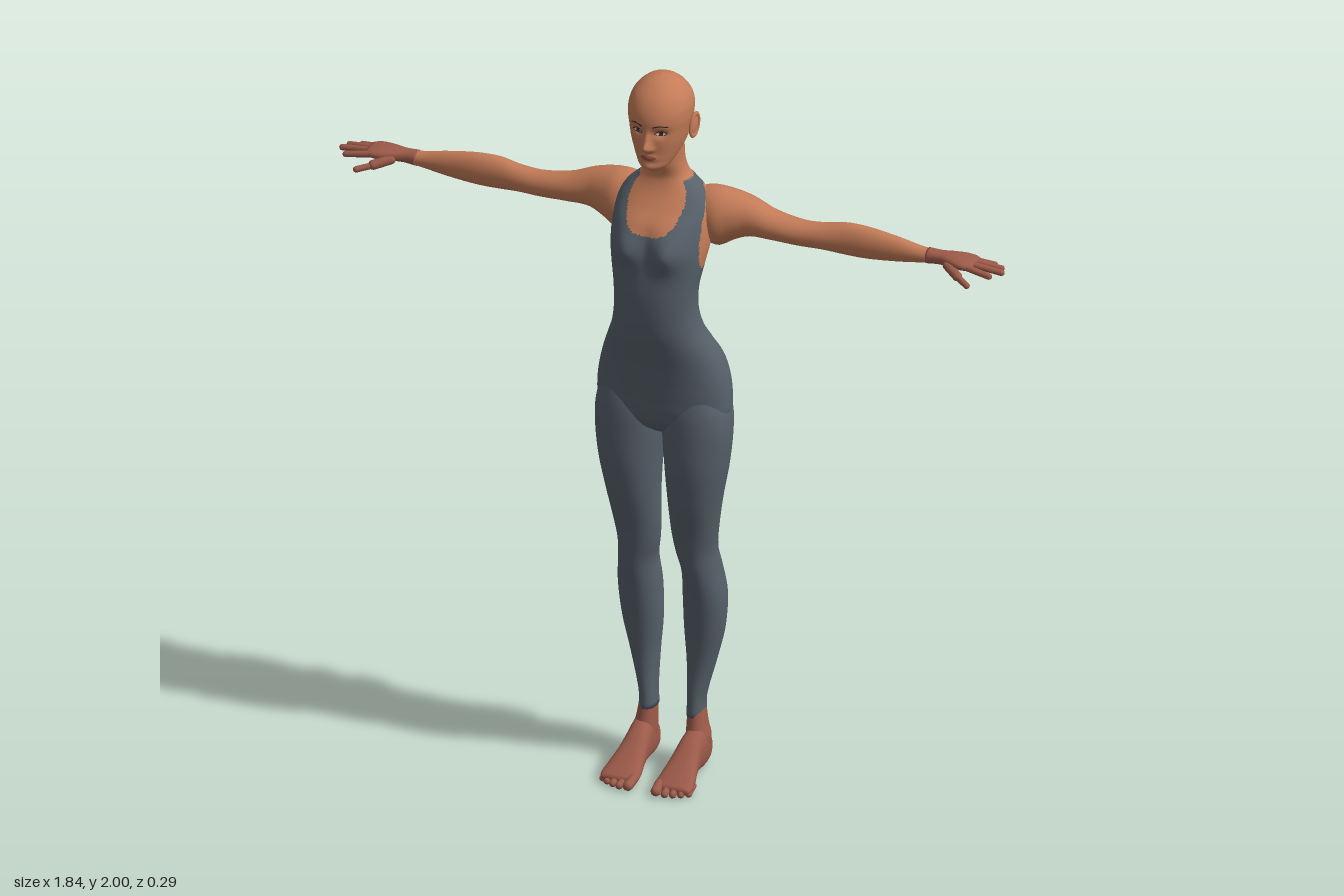
import * as THREE from 'three';

const mat = (name, hex) => {
  const m = new THREE.MeshStandardMaterial({ color: hex });
  m.name = name;
  return m;
};

// Smooth interpolation of cross-section rows [t, u0, u1, v0, v1]
function sample(rows, t) {
  let i = 0;
  while (i < rows.length - 2 && t > rows[i + 1][0]) i++;
  const a = rows[i], b = rows[i + 1], p = rows[i - 1] || a, n = rows[i + 2] || b;
  const h = b[0] - a[0], s = (t - a[0]) / h, s2 = s * s, s3 = s2 * s;
  return [1, 2, 3, 4].map((k) => {
    const ma = (b[k] - p[k]) / (b[0] - p[0]) * h, mb = (n[k] - a[k]) / (n[0] - a[0]) * h;
    return (2 * s3 - 3 * s2 + 1) * a[k] + (s3 - 2 * s2 + s) * ma + (3 * s2 - 2 * s3) * b[k] + (s3 - s2) * mb;
  });
}

// Axis maps put (t, u, v) into x, y, z without changing the winding
const alongY = (t, u, v) => new THREE.Vector3(u, t, v);
const alongX = (t, u, v) => new THREE.Vector3(t, v, u);
const alongZ = (t, u, v) => new THREE.Vector3(v, u, t);

// Closed loft through the rows; deform moves points, paint picks a material index per face
function loft(rows, map, { steps = 40, sides = 32, power = 2.1, deform, paint } = {}) {
  const pts = [], faces = [];
  const t0 = rows[0][0], t1 = rows[rows.length - 1][0];
  const sup = (c) => Math.sign(c) * Math.abs(c) ** (2 / power);
  for (let i = 0; i <= steps; i++) {
    const t = t0 + (t1 - t0) * i / steps;
    const [u0, u1, v0, v1] = sample(rows, t);
    for (let j = 0; j < sides; j++) {
      const a = j / sides * Math.PI * 2;
      const p = map(t, (u0 + u1) / 2 + (u1 - u0) / 2 * sup(Math.cos(a)), (v0 + v1) / 2 + (v1 - v0) / 2 * sup(Math.sin(a)));
      if (deform) deform(p);
      pts.push(p);
    }
  }
  const bottom = pts.length, top = bottom + 1;
  for (const r of [rows[0], rows[rows.length - 1]]) pts.push(map(r[0], (r[1] + r[2]) / 2, (r[3] + r[4]) / 2));
  for (let j = 0; j < sides; j++) {
    const k = (j + 1) % sides, e = steps * sides;
    for (let i = 0; i < steps; i++) {
      const p = i * sides + j, n = i * sides + k;
      faces.push([p, p + sides, n], [n, p + sides, n + sides]);
    }
    faces.push([bottom, j, k], [top, e + k, e + j]);
  }
  const geo = new THREE.BufferGeometry().setFromPoints(pts);
  const lists = [];
  for (const f of faces) {
    const c = new THREE.Vector3();
    f.forEach((q) => c.addScaledVector(pts[q], 1 / 3));
    const m = paint ? paint(c.x, c.y, c.z) : 0;
    (lists[m] ||= []).push(...f);
  }
  geo.setIndex(lists.flat());
  let start = 0;
  if (paint) lists.forEach((l, m) => { geo.addGroup(start, l.length, m); start += l.length; });
  geo.computeVertexNormals();
  return geo;
}

// Rounded finger or toe between two points
function digit(a, b, r) {
  const from = new THREE.Vector3(...a), to = new THREE.Vector3(...b), d = to.clone().sub(from);
  const g = new THREE.CapsuleGeometry(r, d.length() - r, 5, 10);
  g.applyQuaternion(new THREE.Quaternion().setFromUnitVectors(new THREE.Vector3(0, 1, 0), d.clone().normalize()));
  const mid = from.add(to).multiplyScalar(0.5);
  return g.translate(mid.x, mid.y, mid.z);
}

function mirrored(geo) {
  const g = geo.clone().scale(-1, 1, 1), ix = g.index;
  for (let i = 0; i < ix.count; i += 3) {
    const b = ix.getX(i + 1);
    ix.setX(i + 1, ix.getX(i + 2));
    ix.setX(i + 2, b);
  }
  return g;
}

const sym = (rows) => rows.map(([t, w, back, front]) => [t, -w, w, back, front]);
const bump = (x, y, cx, cy, sx, sy) => Math.exp(-(((x - cx) / sx) ** 2) - ((y - cy) / sy) ** 2);
const oval = (x, y, cx, cy, rx, ry) => ((x - cx) / rx) ** 2 + ((y - cy) / ry) ** 2 < 1;
// Piecewise linear curve through [t, value] points
const ramp = (pts, t) => {
  if (t <= pts[0][0]) return pts[0][1];
  for (let i = 1; i < pts.length; i++) {
    const [a, va] = pts[i - 1], [b, vb] = pts[i];
    if (t <= b) return va + (vb - va) * (t - a) / (b - a);
  }
  return pts[pts.length - 1][1];
};

// Bodysuit outline: scooped front with straps, deep armholes and a narrow back strip
function suitPaint(x, y, z) {
  const ax = Math.abs(x);
  if (y < 1.465) return 0;
  if (y > 1.702) return 1;
  if (z > ramp([[1.465, -0.06], [1.5, -0.01], [1.6, 0.03], [1.65, -0.01], [1.68, -0.05]], y)) {
    const inner = ramp([[1.578, 0], [1.582, 0.03], [1.59, 0.05], [1.61, 0.067], [1.65, 0.078], [1.68, 0.072], [1.7, 0.06]], y);
    return ax >= inner && ax < 0.122 ? 0 : 1;
  }
  if (y > 1.678) return 0;
  return z < -0.02 && ax < ramp([[1.465, 0.13], [1.49, 0.09], [1.53, 0.055], [1.6, 0.032], [1.645, 0.026], [1.678, 0.06]], y) ? 0 : 1;
}

function torsoShape(p) {
  const ax = Math.abs(p.x);
  // chest, then buttocks
  p.z += 0.03 * bump(ax, p.y, 0.06, 1.54, 0.045, 0.05) * THREE.MathUtils.smoothstep(p.z, 0, 0.07);
  p.z -= 0.036 * bump(ax, p.y, 0.078, 1.135, 0.06, 0.075) * THREE.MathUtils.smoothstep(-p.z, 0.03, 0.09);
}

function faceShape(p) {
  if (p.z < 0.03) return;
  const ax = Math.abs(p.x), y = p.y;
  p.z += 0.021 * bump(ax, y, 0, 1.834, 0.011, 0.014) + 0.011 * bump(ax, y, 0, 1.856, 0.009, 0.02)
    + 0.005 * bump(ax, y, 0.012, 1.828, 0.007, 0.007) - 0.009 * bump(ax, y, 0.031, 1.872, 0.016, 0.011)
    + 0.007 * bump(ax, y, 0, 1.802, 0.02, 0.009) + 0.005 * bump(ax, y, 0, 1.775, 0.018, 0.012);
}

// Face colours: skin, lips, dark lashes, eye whites
function facePaint(x, y, z) {
  const ax = Math.abs(x);
  if (z < 0.03) return 0;
  if (oval(ax, y, 0, 1.802, 0.021, 0.0075)) return 1;
  if (oval(ax, y, 0.032, 1.872, 0.015, 0.0065)) {
    return oval(ax, y, 0.032, 1.871, 0.012, 0.0042) && !oval(ax, y, 0.032, 1.871, 0.0055, 0.006) ? 3 : 2;
  }
  const brow = 1.891 + 0.004 * Math.sin((ax - 0.014) * 80);
  return ax > 0.014 && ax < 0.05 && Math.abs(y - brow) < 0.0018 ? 2 : 0;
}

export function createModel() {
  const skin = mat('skin', 0xc47c58), flush = mat('reddish skin', 0x9d5b4a), suit = mat('suit grey', 0x57616a);
  const lip = mat('lips', 0x9c5144), dark = mat('dark brown', 0x3d2620), white = mat('eye white', 0xcfc2b8);
  const model = new THREE.Group();
  model.name = 'figure';
  const add = (name, geo, material) => {
    const m = new THREE.Mesh(geo, material);
    m.name = name;
    model.add(m);
  };
  const pair = (name, geo, material) => {
    add('left' + name, geo, material);
    add('right' + name, mirrored(geo), material);
  };

  // Torso and neck
  add('torso', loft(sym([
    [0.985, 0.07, -0.05, 0.02], [1.01, 0.15, -0.085, 0.05], [1.05, 0.178, -0.106, 0.066], [1.1, 0.181, -0.116, 0.072],
    [1.15, 0.174, -0.12, 0.078], [1.2, 0.16, -0.113, 0.087], [1.25, 0.14, -0.088, 0.1], [1.3, 0.12, -0.062, 0.112],
    [1.36, 0.11, -0.046, 0.118], [1.42, 0.112, -0.046, 0.118], [1.48, 0.122, -0.065, 0.112], [1.54, 0.13, -0.098, 0.104],
    [1.6, 0.128, -0.108, 0.09], [1.64, 0.122, -0.104, 0.058], [1.67, 0.105, -0.098, 0.035], [1.695, 0.078, -0.09, 0.022],
    [1.715, 0.06, -0.08, 0.018], [1.75, 0.051, -0.073, 0.026], [1.8, 0.05, -0.066, 0.03], [1.84, 0.045, -0.06, 0.03],
  ]), alongY, { steps: 190, sides: 112, power: 2.2, deform: torsoShape, paint: suitPaint }), [suit, skin]);

  // Head
  add('head', loft(sym([
    [1.757, 0.018, 0.035, 0.075], [1.77, 0.038, 0.0, 0.09], [1.79, 0.052, -0.03, 0.091], [1.81, 0.062, -0.055, 0.092],
    [1.84, 0.072, -0.075, 0.095], [1.87, 0.078, -0.086, 0.096], [1.9, 0.082, -0.092, 0.098], [1.93, 0.081, -0.09, 0.091],
    [1.96, 0.069, -0.075, 0.073], [1.985, 0.044, -0.05, 0.043], [1.996, 0.021, -0.025, 0.018], [2.0, 0.002, -0.004, 0.0],
  ]), alongY, { steps: 130, sides: 160, power: 2.1, deform: faceShape, paint: facePaint }), [skin, lip, dark, white]);

  // Ears
  const place = (g) => g.rotateX(-0.2).rotateY(-0.25).translate(0.083, 1.865, -0.012);
  pair('Ear', place(new THREE.SphereGeometry(1, 16, 12).scale(0.007, 0.031, 0.017)), skin);
  pair('EarRim', place(new THREE.TorusGeometry(0.017, 0.004, 8, 24).rotateY(Math.PI / 2).scale(1, 1.75, 1).translate(0.003, 0, 0)), skin);

  // Arms
  pair('Arm', loft([
    [0.05, -0.09, -0.01, 1.57, 1.65], [0.1, -0.115, 0, 1.53, 1.672], [0.14, -0.123, 0.008, 1.515, 1.675],
    [0.18, -0.123, -0.005, 1.535, 1.667], [0.22, -0.118, -0.018, 1.55, 1.655], [0.28, -0.108, -0.022, 1.553, 1.632],
    [0.36, -0.1, -0.03, 1.55, 1.619], [0.42, -0.1, -0.035, 1.55, 1.622], [0.48, -0.103, -0.04, 1.545, 1.632],
    [0.54, -0.1, -0.042, 1.545, 1.632], [0.62, -0.096, -0.048, 1.552, 1.62], [0.69, -0.094, -0.053, 1.562, 1.605],
    [0.725, -0.094, -0.054, 1.567, 1.602],
  ], alongX, { steps: 70, sides: 32, power: 2 }), skin);

  // Hands: palm, four fingers and thumb
  pair('Palm', loft([
    [0.705, -0.095, -0.053, 1.564, 1.604], [0.74, -0.096, -0.053, 1.568, 1.602], [0.77, -0.103, -0.043, 1.57, 1.603],
    [0.8, -0.11, -0.034, 1.571, 1.602], [0.825, -0.111, -0.034, 1.574, 1.598], [0.838, -0.104, -0.042, 1.58, 1.594],
  ], alongX, { steps: 20, sides: 28, power: 2.4 }), flush);
  [
    ['Index', [0.815, 1.587, -0.044], [0.893, 1.576, -0.036], 0.0085],
    ['Middle', [0.82, 1.588, -0.063], [0.915, 1.577, -0.067], 0.0085],
    ['Ring', [0.82, 1.587, -0.082], [0.905, 1.576, -0.092], 0.008],
    ['Little', [0.81, 1.584, -0.1], [0.878, 1.573, -0.113], 0.007],
    ['Thumb', [0.765, 1.58, -0.052], [0.812, 1.567, -0.018], 0.013],
    ['ThumbTip', [0.805, 1.568, -0.022], [0.847, 1.559, 0.005], 0.0085],
  ].forEach(([n, a, b, r]) => pair(n + (n.startsWith('Thumb') ? '' : 'Finger'), digit(a, b, r), flush));

  // Suit legs
  pair('Leg', loft([
    [0.15, 0.043, 0.088, -0.111, -0.036], [0.2, 0.044, 0.09, -0.111, -0.036], [0.3, 0.04, 0.115, -0.121, -0.038],
    [0.4, 0.033, 0.138, -0.133, -0.028], [0.5, 0.034, 0.145, -0.136, -0.01], [0.58, 0.038, 0.137, -0.12, 0.008],
    [0.64, 0.026, 0.133, -0.1, 0.018], [0.7, 0.019, 0.14, -0.09, 0.03], [0.8, 0.015, 0.156, -0.09, 0.055],
    [0.9, 0.009, 0.174, -0.099, 0.07], [1.0, 0.002, 0.184, -0.102, 0.07], [1.06, 0.006, 0.18, -0.105, 0.065],
    [1.12, 0.03, 0.16, -0.09, 0.05],
  ], alongY, { steps: 80, sides: 40, power: 2.15 }), suit);

  // Ankles and feet
  pair('Ankle', loft([
    [0.04, 0.044, 0.1, -0.112, -0.015], [0.09, 0.043, 0.104, -0.11, -0.024], [0.12, 0.043, 0.096, -0.108, -0.033],
    [0.18, 0.046, 0.086, -0.108, -0.039],
  ], alongY, { steps: 16, sides: 28 }), flush);
  pair('Foot', loft([
    [-0.12, 0.03, 0.05, 0.06, 0.078], [-0.112, 0.012, 0.08, 0.05, 0.092], [-0.09, 0.003, 0.1, 0.045, 0.1],
    [-0.05, 0.003, 0.12, 0.042, 0.105], [-0.01, 0.008, 0.105, 0.038, 0.106], [0.03, 0.008, 0.078, 0.033, 0.112],
    [0.07, 0.003, 0.053, 0.026, 0.122], [0.1, 0.003, 0.036, 0.024, 0.126], [0.118, 0.007, 0.026, 0.03, 0.12],
  ], alongZ, { steps: 36, sides: 28, power: 2.4 }), flush);
  [[0.036, 0.145, 0.0135], [0.06, 0.142, 0.01], [0.08, 0.136, 0.0095], [0.099, 0.127, 0.009], [0.116, 0.115, 0.0085]]
    .forEach(([x, tip, r], i) => pair('Toe' + (i + 1), digit([x, r + 0.009, tip - 0.05], [x + 0.003, r, tip - r / 2], r), flush));

  return model;
}
